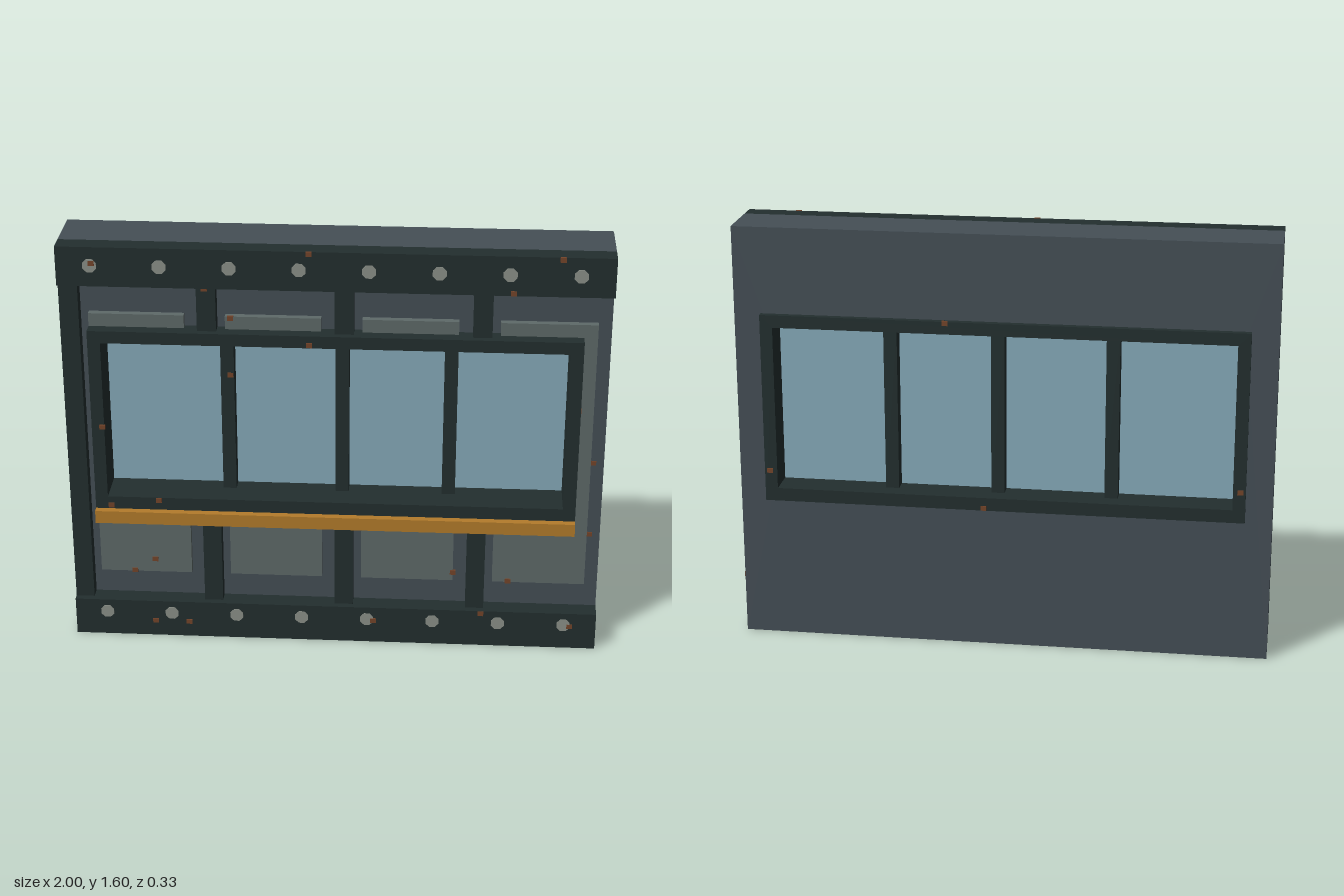
import * as THREE from 'three';

const mat = (name, color) => {
  const m = new THREE.MeshStandardMaterial({ color });
  m.name = name;
  return m;
};

export function createModel() {
  const model = new THREE.Group();
  model.name = 'windowWallPanel';
  const wallGrey = mat('wall grey', 0x454f56);
  const darkSteel = mat('dark steel', 0x232f2f);
  const panelGrey = mat('panel grey', 0x5f6a69);
  const glassBlue = mat('glass blue', 0x87abbb);
  const trimOrange = mat('trim orange', 0xb47c2b);
  const boltGrey = mat('bolt grey', 0x8c9189);
  const rust = mat('rust', 0x75452a);

  const add = (name, geometry, material) => {
    const mesh = new THREE.Mesh(geometry, material);
    mesh.name = name;
    model.add(mesh);
    return mesh;
  };
  // Box given by its limits on each axis
  const box = (name, material, x0, x1, y0, y1, z0, z1) => {
    const mesh = add(name, new THREE.BoxGeometry(x1 - x0, y1 - y0, z1 - z0), material);
    mesh.position.set((x0 + x1) / 2, (y0 + y1) / 2, (z0 + z1) / 2);
  };
  // Rectangular plate with a rectangular opening
  const ring = (name, material, outer, inner, z0, z1) => {
    const rect = (Type, [x0, x1, y0, y1]) => new Type([
      new THREE.Vector2(x0, y0), new THREE.Vector2(x1, y0),
      new THREE.Vector2(x1, y1), new THREE.Vector2(x0, y1),
    ]);
    const shape = rect(THREE.Shape, outer);
    shape.holes.push(rect(THREE.Path, inner));
    const geo = new THREE.ExtrudeGeometry(shape, { depth: z1 - z0, bevelEnabled: false });
    add(name, geo, material).position.z = z0;
  };

  // Wall slab and window frame
  ring('wall', wallGrey, [-1, 1, 0, 1.6], [-0.88, 0.88, 0.57, 1.25], -0.138, 0.065);
  ring('windowFrame', darkSteel, [-0.9, 0.9, 0.55, 1.275], [-0.853, 0.853, 0.6, 1.228], -0.163, 0.138);

  // Glass and mullions
  box('glass', glassBlue, -0.86, 0.86, 0.59, 1.235, -0.045, -0.015);
  for (const x of [-0.401, 0.024, 0.425])
    box('mullion', darkSteel, x - 0.025, x + 0.025, 0.595, 1.232, -0.1, 0.04);

  // Top and bottom rails with bolts
  for (const [y0, boltY] of [[0, 0.1], [1.45, 1.53]]) {
    box('rail', darkSteel, -1, 1, y0, y0 + 0.15, 0.064, 0.138);
    for (let i = 0; i < 8; i++) {
      const bolt = add('bolt', new THREE.CylinderGeometry(0.027, 0.027, 0.008, 8), boltGrey);
      bolt.rotation.set(Math.PI / 2, Math.PI / 8, 0);
      bolt.position.set(-0.877 + i * 0.2505, boltY, 0.137);
    }
  }

  // Posts and raised panels, above and below the window frame
  for (let i = 0; i < 4; i++) {
    const x = -1 + i * 0.5;
    const spans = i === 0 ? [[0.15, 1.45]] : [[0.15, 0.55], [1.275, 1.45]];
    for (const [y0, y1] of spans)
      box('post', darkSteel, x, x + 0.07, y0, y1, 0.064, 0.113);
    for (const [y0, y1] of [[0.255, 0.55], [1.275, 1.325]])
      box('raisedPanel', panelGrey, x + 0.1, x + 0.45, y0, y1, 0.064, 0.09);
  }
  box('raisedPanelEdge', panelGrey, 0.9, 0.95, 0.55, 1.275, 0.064, 0.09);

  // Orange ledge strip
  box('ledgeStrip', trimOrange, -0.9, 0.9, 0.5, 0.55, 0.138, 0.165);

  // Rust flecks: centre of each small chip
  const flecks = [
    [-0.87, 1.54, 0.139], [-0.09, 1.592, 0.139], [0.81, 1.592, 0.139], [0.64, 1.46, 0.139],
    [-0.47, 1.44, 0.113], [-0.09, 1.24, 0.139], [-0.39, 1.07, 0.04], [-0.86, 0.89, 0.139],
    [-0.66, 0.59, 0.139], [-0.84, 0.565, 0.139], [-0.69, 0.065, 0.139], [-0.56, 0.065, 0.139],
    [0.15, 0.095, 0.139], [0.56, 0.14, 0.139], [0.9, 0.095, 0.139], [-0.49, 0.495, 0.113],
    [-0.24, 0.49, 0.09], [-0.77, 0.26, 0.09], [-0.69, 0.31, 0.09], [0.45, 0.29, 0.09],
    [0.66, 0.26, 0.09], [0.96, 0.46, 0.065], [0.96, 0.76, 0.065], [-0.38, 1.318, 0.09],
    [0.21, 1.27, -0.163], [0.07, 0.56, -0.163], [0.88, 0.67, -0.163], [-0.88, 0.67, -0.163],
  ];
  for (const [x, y, z] of flecks) {
    const fleck = add('rustFleck', new THREE.BoxGeometry(0.022, 0.018, 0.008), rust);
    fleck.position.set(x, y, z);
  }
  for (const [x, y, z] of [[1, 0.54, -0.025], [1, 0.115, -0.03], [1, 0.23, -0.125], [0.9, 0.99, 0.1]]) {
    const fleck = add('sideRustFleck', new THREE.BoxGeometry(0.006, 0.018, 0.022), rust);
    fleck.position.set(x, y, z);
  }
  return model;
}
